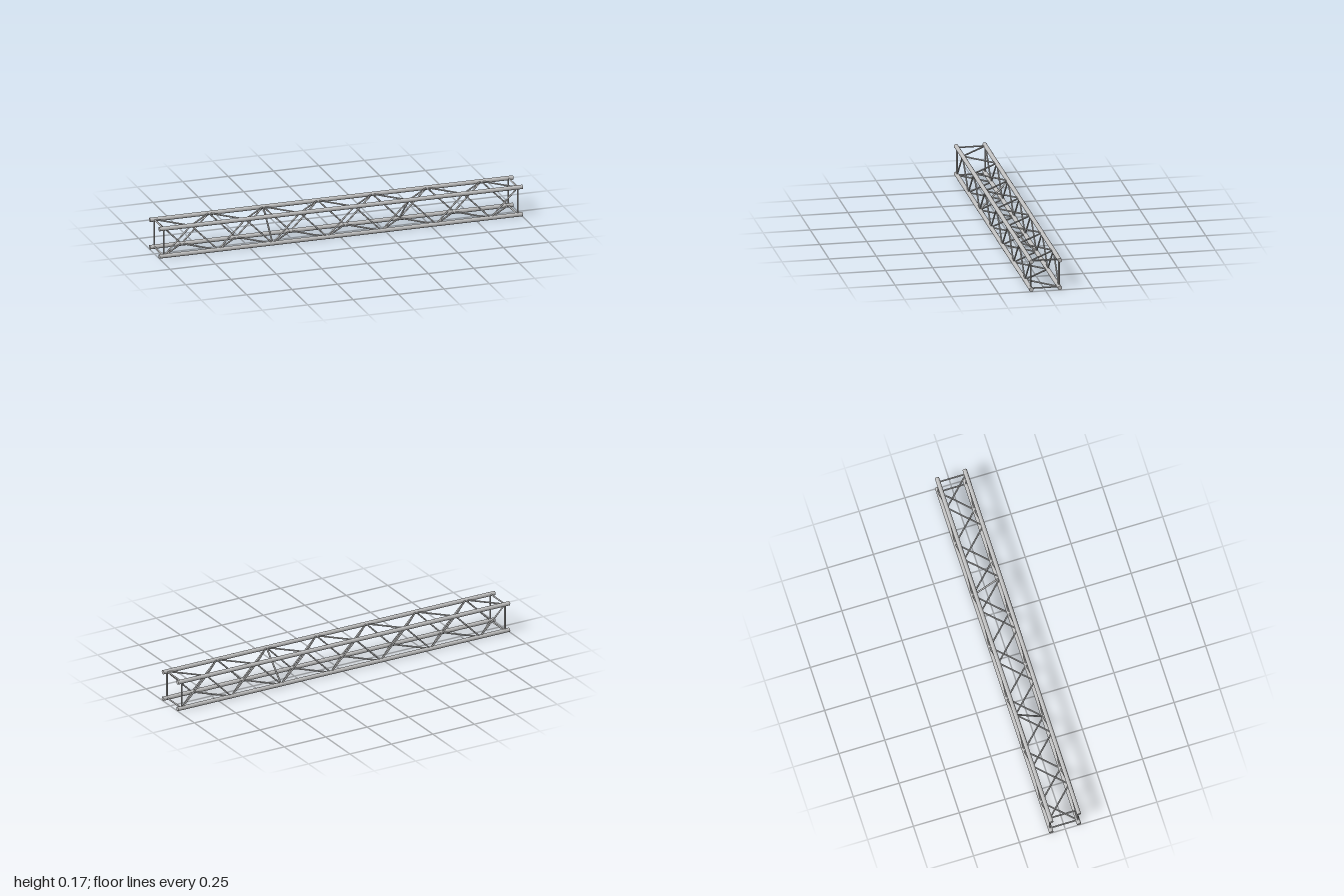
import * as THREE from 'three';

const HALF = 0.0755;        // half the spacing of the chords
const CHORD_R = 0.0115;
const MID_Y = HALF + CHORD_R;
const END_X = 0.975;        // position of the end frames
const BAYS = 13;

export function createModel() {
  const model = new THREE.Group();
  model.name = 'boxTruss';
  const metal = new THREE.MeshStandardMaterial({ color: 0xc0c0c0 });
  metal.name = 'aluminium grey';

  // Round bar between two points
  function bar(name, a, b, radius, sides = 10) {
    const dir = b.clone().sub(a);
    const mesh = new THREE.Mesh(new THREE.CylinderGeometry(radius, radius, dir.length(), sides), metal);
    mesh.name = name;
    mesh.position.copy(a).add(b).multiplyScalar(0.5);
    mesh.quaternion.setFromUnitVectors(new THREE.Vector3(0, 1, 0), dir.normalize());
    model.add(mesh);
  }

  // Corners in order: top back, top front, bottom front, bottom back
  const corners = [[1, -1], [1, 1], [-1, 1], [-1, -1]];
  const names = ['top', 'front', 'bottom', 'back'];
  const at = (x, c) => new THREE.Vector3(x, MID_Y + corners[c][0] * HALF, corners[c][1] * HALF);
  const nodeX = (i) => -END_X + (2 * END_X * i) / BAYS;

  for (let c = 0; c < 4; c++) {
    const next = (c + 1) % 4;
    // Main tubes
    bar('chord', at(-1, c), at(1, c), CHORD_R, 14);
    // Square frames at both ends
    for (const x of [-END_X, END_X]) bar('endFrameBar', at(x, c), at(x, next), 0.0042);
    // Zigzag lacing: corners 0 and 2 hold the even nodes, 1 and 3 the odd ones
    for (let i = 0; i < BAYS; i++) {
      const first = i % 2 === c % 2 ? c : next;
      const second = first === c ? next : c;
      bar(names[c] + 'Lacing', at(nodeX(i), first), at(nodeX(i + 1), second), 0.0042);
    }
  }

  // Diagonal stiffeners across the inside
  bar('innerDiagonal', at(nodeX(4), 0), at(nodeX(4), 2), 0.0046);
  bar('innerDiagonal', at(nodeX(9), 1), at(nodeX(9), 3), 0.0046);

  return model;
}
